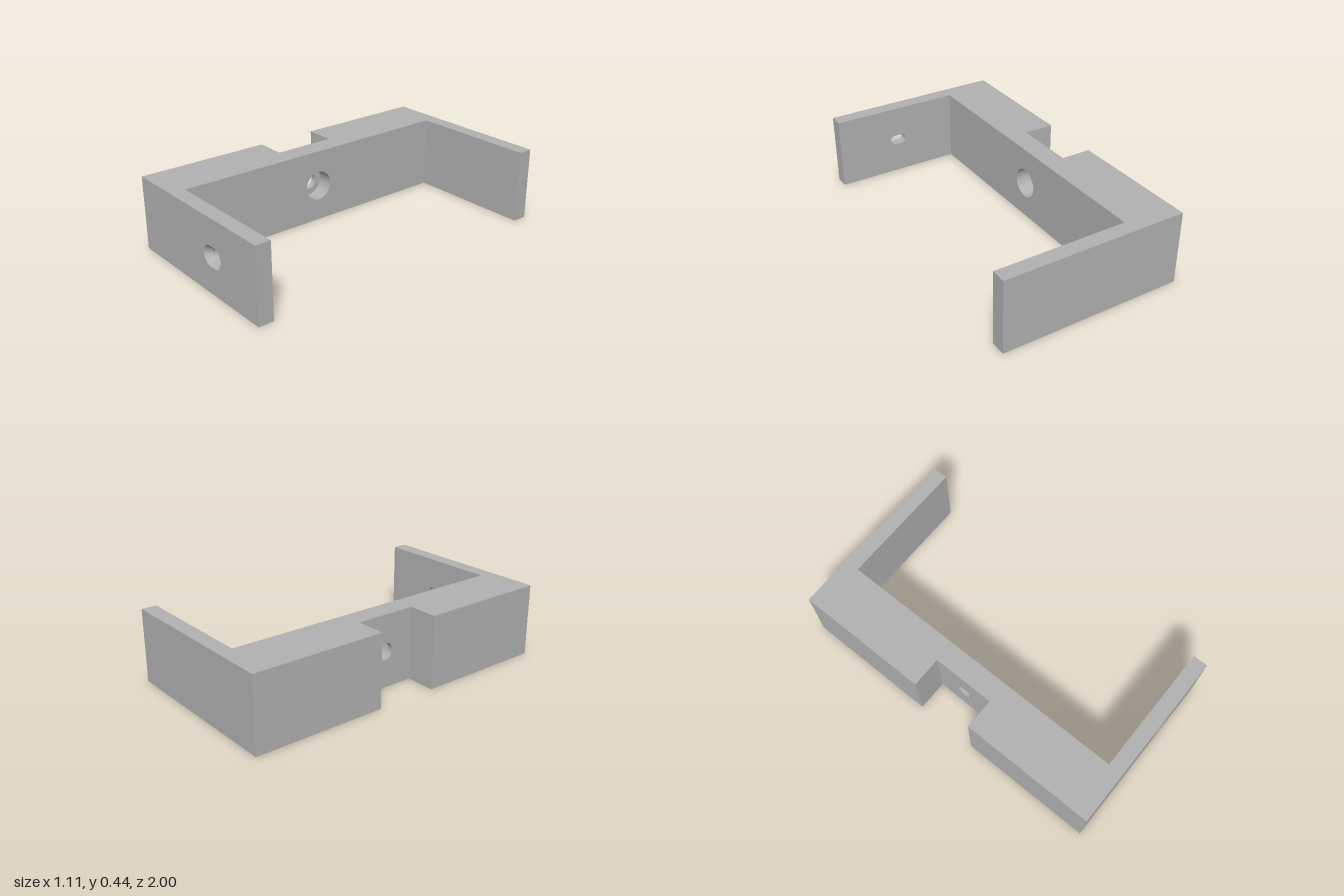
import * as THREE from 'three';
import { toCreasedNormals } from 'three/addons/utils/BufferGeometryUtils.js';

const H = 0.445;            // overall height
const MID = H / 2;          // height of both hole centres
const X0 = -0.555, X1 = 0.555;
const WALL_IN = -0.238;     // inner face of the spine
const NOTCH_X = -0.37, NOTCH_Z = 0.19;
const ARM_IN = 0.91;        // inner face of the arms
const SLOT_X = 0.155, SLOT_HALF = 0.02;

// Stadium outline (a circle when half = 0), counter-clockwise
function stadium(cx, cy, half, r, n = 24) {
  const pts = [];
  for (const side of [1, -1]) {
    for (let i = 0; i <= n; i++) {
      if (half === 0 && i === n) continue;
      const a = (side > 0 ? -Math.PI / 2 : Math.PI / 2) + (Math.PI * i) / n;
      pts.push(new THREE.Vector2(cx + side * half + r * Math.cos(a), cy + r * Math.sin(a)));
    }
  }
  return pts;
}

// Rectangular plate with one hole, extruded along +z from 0
function plate(xa, xb, hole, depth) {
  const shape = new THREE.Shape([
    new THREE.Vector2(xa, 0), new THREE.Vector2(xb, 0),
    new THREE.Vector2(xb, H), new THREE.Vector2(xa, H),
  ]);
  shape.holes.push(new THREE.Path(hole));
  const geo = new THREE.ExtrudeGeometry(shape, { depth, bevelEnabled: false });
  return toCreasedNormals(geo, 0.5);
}

// Smooth band between two matching outlines
function loft(a, za, b, zb) {
  const n = a.length, pos = [], idx = [];
  for (const p of a) pos.push(p.x, p.y, za);
  for (const p of b) pos.push(p.x, p.y, zb);
  for (let i = 0; i < n; i++) {
    const j = (i + 1) % n;
    idx.push(i, j, n + j, i, n + j, n + i);
  }
  const geo = new THREE.BufferGeometry();
  geo.setAttribute('position', new THREE.Float32BufferAttribute(pos, 3));
  geo.setIndex(idx);
  geo.computeVertexNormals();
  return geo;
}

export function createModel() {
  const group = new THREE.Group();
  const grey = new THREE.MeshStandardMaterial({ color: 0xb2b2b2 });
  grey.name = 'grey';

  const add = (name, geo, x = 0, y = 0, z = 0) => {
    const mesh = new THREE.Mesh(geo, grey);
    mesh.name = name;
    mesh.position.set(x, y, z);
    group.add(mesh);
    return mesh;
  };
  const box = (name, xa, xb, za, zb) =>
    add(name, new THREE.BoxGeometry(xb - xa, H, zb - za), (xa + xb) / 2, MID, (za + zb) / 2);

  // Thick spine blocks either side of the notch
  box('frontSpineBlock', X0, WALL_IN, NOTCH_Z, ARM_IN);
  box('backSpineBlock', X0, WALL_IN, -ARM_IN, -NOTCH_Z);

  // Thin web behind the notch: through hole, then a wider counterbore
  const boreX = WALL_IN - 0.1;
  const web = (name, r, xa, xb) =>
    add(name, plate(-NOTCH_Z, NOTCH_Z, stadium(0, MID, 0, r), xb - xa).rotateY(Math.PI / 2), xa);
  web('webThroughHole', 0.052, NOTCH_X, boreX);
  web('webCounterbore', 0.09, boreX, WALL_IN);

  // Plain back arm
  box('backArm', X0, X1, -1, -ARM_IN);

  // Front arm with a countersunk slot
  const sinkZ = 0.965;
  const inner = stadium(SLOT_X, MID, SLOT_HALF, 0.032);
  const outer = stadium(SLOT_X, MID, SLOT_HALF, 0.061);
  add('frontArmInnerLayer', plate(X0, X1, inner, sinkZ - ARM_IN), 0, 0, ARM_IN);
  add('frontArmOuterLayer', plate(X0, X1, outer, 1 - sinkZ), 0, 0, sinkZ);
  add('slotCountersink', loft(inner, sinkZ, outer, 1).clone(), 0, 0, 0).geometry = flip(loft(inner, sinkZ, outer, 1));

  return group;
}

// Keep the countersink facing into the slot
function flip(geo) {
  const n = geo.attributes.normal;
  if (n.getZ(0) > 0) return geo;
  const idx = geo.index.array;
  for (let i = 0; i < idx.length; i += 3) [idx[i + 1], idx[i + 2]] = [idx[i + 2], idx[i + 1]];
  geo.computeVertexNormals();
  return geo;
}
